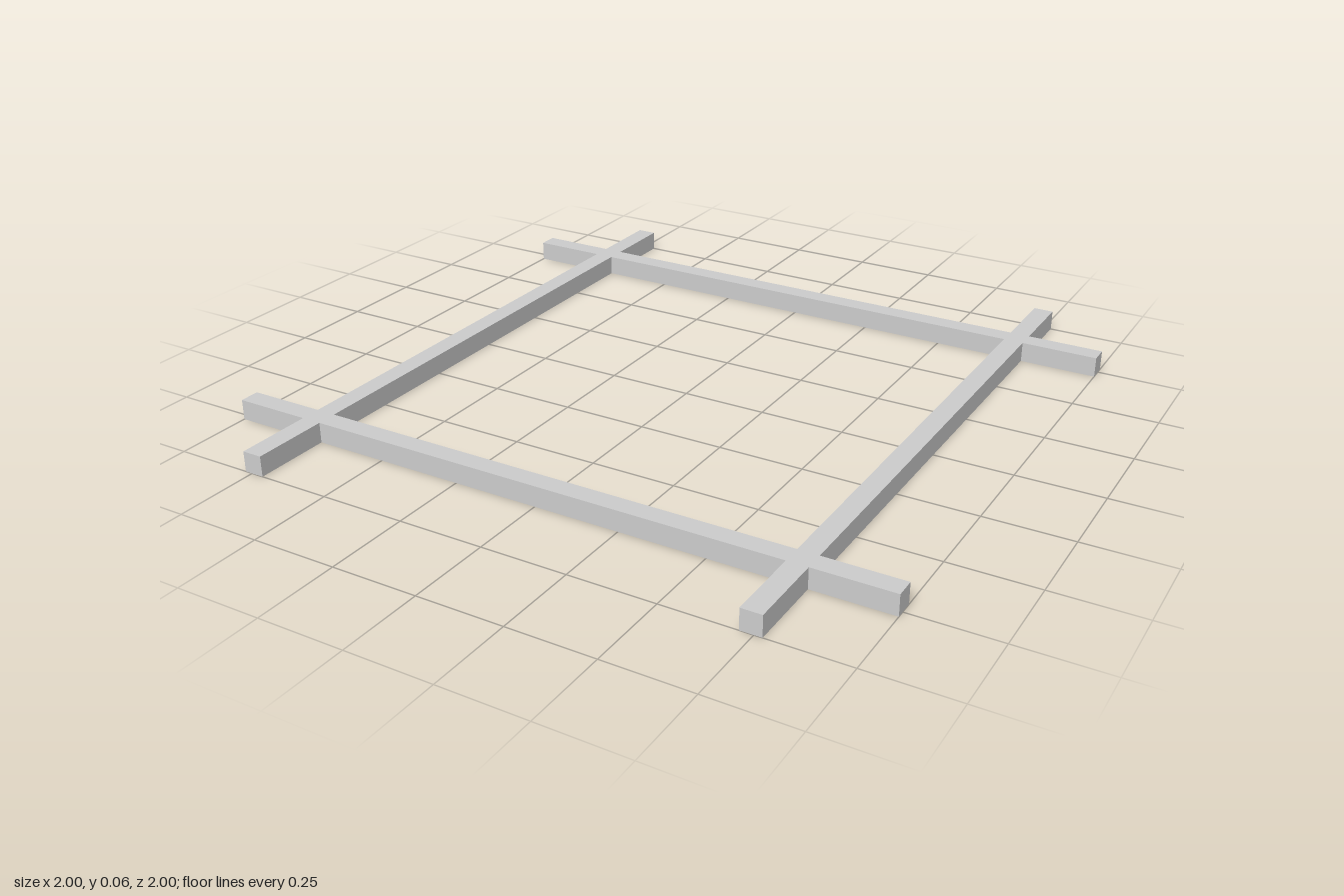
import * as THREE from 'three';

const HALF = 1;        // half length of each bar
const INNER = 0.713;   // inner side of each bar
const OUTER = 0.772;   // outer side of each bar
const HEIGHT = 0.06;

// Repeat a run of points around the four corners
function fourCorners(points) {
  const result = [];
  for (let i = 0; i < 4; i++) {
    for (const [x, y] of points) {
      result.push(new THREE.Vector2(x, y).rotateAround(new THREE.Vector2(), i * Math.PI / 2));
    }
  }
  return result;
}

export function createModel() {
  const group = new THREE.Group();
  group.name = 'crossedBarFrame';

  // Four flush-jointed bars whose ends run past each crossing
  const outline = new THREE.Shape(fourCorners([
    [OUTER, INNER], [HALF, INNER], [HALF, OUTER], [OUTER, OUTER],
    [OUTER, HALF], [INNER, HALF], [INNER, OUTER],
  ]));

  // Square opening
  outline.holes.push(new THREE.Path(fourCorners([[INNER, INNER]]).reverse()));

  const geometry = new THREE.ExtrudeGeometry(outline, { depth: HEIGHT, bevelEnabled: false });
  geometry.rotateX(-Math.PI / 2);

  const bars = new THREE.Mesh(geometry, new THREE.MeshStandardMaterial({ color: 0xcccccc, flatShading: true }));
  bars.name = 'crossedBars';
  group.add(bars);
  return group;
}
